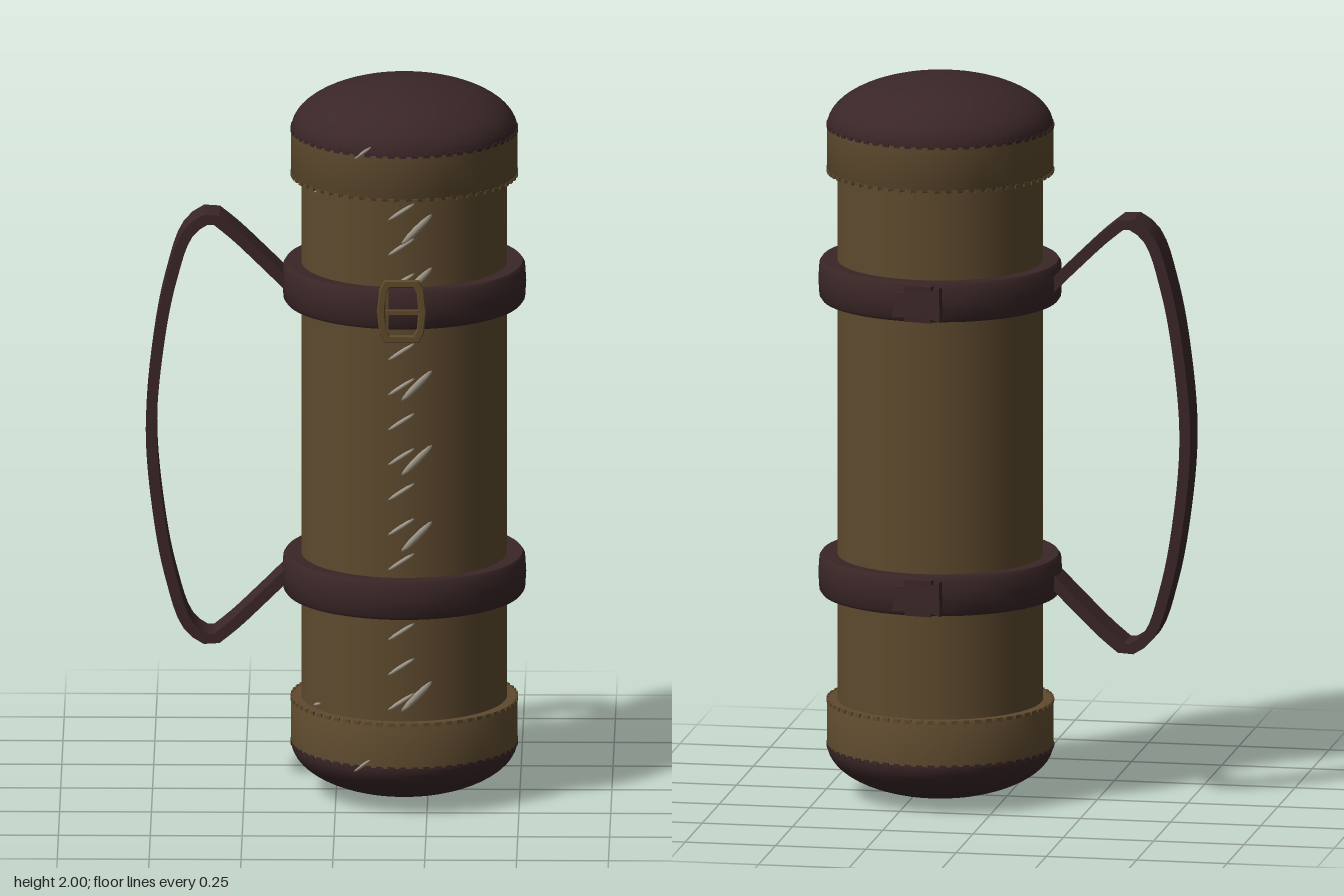
import * as THREE from 'three';
import { toCreasedNormals } from 'three/addons/utils/BufferGeometryUtils.js';

const CX = 0.185;   // axis of the tube
const MID = 1.0;    // mirror height of the caps

const flat = (name, color, side = THREE.FrontSide) => {
  const m = new THREE.MeshStandardMaterial({ color, side });
  m.name = name;
  return m;
};

export function createModel() {
  const canvas = flat('tan hide', 0x5e4a2e);
  const leather = flat('dark leather', 0x3a2627);
  const brass = flat('brass', 0x5f4a2a);
  const thread = flat('pale thread', 0x9c9484);

  const model = new THREE.Group();
  model.name = 'strappedTube';
  const add = (name, geo, mat, parent = model) => {
    const mesh = new THREE.Mesh(geo, mat);
    mesh.name = name;
    parent.add(mesh);
    return mesh;
  };
  const lathe = (pts, crease = 0.7) => toCreasedNormals(
    new THREE.LatheGeometry(pts.map(([r, y]) => new THREE.Vector2(r, y)), 64), crease);

  // Everything built around the tube axis
  const tube = new THREE.Group();
  tube.name = 'tube';
  tube.position.x = CX;
  model.add(tube);

  add('body', new THREE.CylinderGeometry(0.28, 0.28, 1.6, 64, 1, true), canvas, tube).position.y = MID;

  // Caps: collar, dome and the row of stitches along both seams
  for (const s of [1, -1]) {
    const cap = new THREE.Group();
    cap.name = s > 0 ? 'topCap' : 'bottomCap';
    cap.position.y = MID;
    if (s < 0) cap.rotation.x = Math.PI;
    tube.add(cap);
    add('collar', lathe([[0.278, 0.735], [0.304, 0.735], [0.308, 0.742], [0.308, 0.862]]), canvas, cap);
    const dome = add('dome', new THREE.SphereGeometry(0.308, 64, 16, 0, Math.PI * 2, 0, Math.PI / 2), leather, cap);
    dome.scale.y = 0.14 / 0.308;
    dome.position.y = 0.86;
    for (const [y, mat] of [[0.862, leather], [0.738, canvas]]) {
      for (let i = 0; i < 60; i++) {
        const a = i / 60 * Math.PI * 2;
        const dot = add('seamStitch', new THREE.BoxGeometry(0.018, 0.01, 0.006), mat, cap);
        dot.position.set(Math.sin(a) * 0.307, y, Math.cos(a) * 0.307);
        dot.rotation.y = a;
      }
    }
  }

  // Straps with a folded loop at the back
  for (const y of [1.435, 0.617]) {
    const strap = new THREE.Group();
    strap.name = 'strap';
    strap.position.y = y;
    tube.add(strap);
    add('strapBand', lathe([[0.278, -0.052], [0.322, -0.055], [0.329, -0.045], [0.332, 0],
      [0.329, 0.045], [0.322, 0.055], [0.278, 0.052]]), leather, strap);
    const keeper = add('strapKeeper', new THREE.BoxGeometry(0.075, 0.1, 0.025), leather, strap);
    keeper.position.set(-0.005, 0, -0.342);
    keeper.rotation.y = -0.15;
    // Flared tail of the strap
    const tail = new THREE.Shape([[-0.07, -0.045], [-0.02, -0.03], [0.07, -0.04],
      [0.06, 0.03], [-0.02, 0.03], [-0.068, 0.05]].map(([a, b]) => new THREE.Vector2(a, b)));
    const tailMesh = add('strapTail',
      new THREE.ExtrudeGeometry(tail, { depth: 0.022, bevelEnabled: false }), leather, strap);
    tailMesh.position.set(0, 0, -0.36);
    tailMesh.rotation.y = -0.2;
  }

  // Carrying handle: a flat ribbon bent outward
  const half = [[-0.12, 1.42], [-0.2, 1.5], [-0.29, 1.585], [-0.34, 1.618], [-0.4, 1.58],
    [-0.45, 1.44], [-0.485, 1.25]];
  const path = [...half, [-0.503, 1.025], ...half.slice().reverse().map(([x, y]) => [x, 2.05 - y])];
  const curve = new THREE.CatmullRomCurve3(path.map(([x, y]) => new THREE.Vector3(x, y, 0)));
  const outer = [], inner = [];
  for (let i = 0; i <= 60; i++) {
    const p = curve.getPointAt(i / 60), t = curve.getTangentAt(i / 60);
    outer.push(new THREE.Vector2(p.x + t.y * 0.015, p.y - t.x * 0.015));
    inner.push(new THREE.Vector2(p.x - t.y * 0.015, p.y + t.x * 0.015));
  }
  const ribbon = new THREE.ExtrudeGeometry(new THREE.Shape([...outer, ...inner.reverse()]),
    { depth: 0.11, bevelEnabled: false });
  add('handle', toCreasedNormals(ribbon, 0.6), leather).position.z = -0.058;

  // Buckle: bowed frame, centre bar and prong
  const buckle = new THREE.Group();
  buckle.name = 'buckle';
  buckle.position.set(CX - 0.003, 1.435, 0.333);
  model.add(buckle);
  const ring = (k, j) => [[-0.045, -0.085], [0.045, -0.085], [0.058, -0.06], [0.064, 0],
    [0.058, 0.06], [0.045, 0.085], [-0.045, 0.085], [-0.058, 0.06], [-0.064, 0], [-0.058, -0.06]]
    .map(([x, y]) => new THREE.Vector2(x * k, y * j));
  const frame = new THREE.Shape(ring(1, 1));
  frame.holes.push(new THREE.Path(ring(0.76, 0.83)));
  add('buckleFrame', new THREE.ExtrudeGeometry(frame, {
    depth: 0.008, bevelEnabled: true, bevelThickness: 0.004, bevelSize: 0.003, bevelSegments: 1,
  }), brass, buckle);
  add('buckleProng', new THREE.BoxGeometry(0.09, 0.012, 0.014), brass, buckle).position.z = 0.014;
  add('buckleBar', new THREE.BoxGeometry(0.008, 0.15, 0.008), brass, buckle).position.set(-0.04, 0, 0.006);

  // Lacing down the front seam: short strokes on the left, long ones on the right
  const stroke = (x, y, dx, dy, r, radius = 0.283) => {
    const a = Math.asin((x - CX) / radius);
    const s = add('lacing', new THREE.SphereGeometry(1, 8, 6), thread);
    s.scale.set(Math.hypot(dx, dy) / 2, r, 0.007);
    s.position.set(x, y, Math.cos(a) * radius);
    s.rotation.set(0, a, Math.atan2(dy, dx), 'YXZ');
  };
  for (let i = 0; i < 15; i++) {
    const y = 1.7 - i * 0.0985;
    if (Math.abs(y - 1.435) > 0.05 && Math.abs(y - 0.617) > 0.05) stroke(0.18, y, 0.075, 0.05, 0.006);
  }
  for (const y of [1.65, 1.5, 1.21, 1.0, 0.785, 0.335]) stroke(0.222, y, 0.085, 0.085, 0.01);

  // Loose thread ends at the caps
  for (const y of [1.725, 0.28]) stroke(-0.05, y, 0.03, 0.01, 0.005);
  for (const y of [1.866, 0.142]) stroke(0.075, y, 0.05, 0.04, 0.005, 0.306);

  return model;
}
